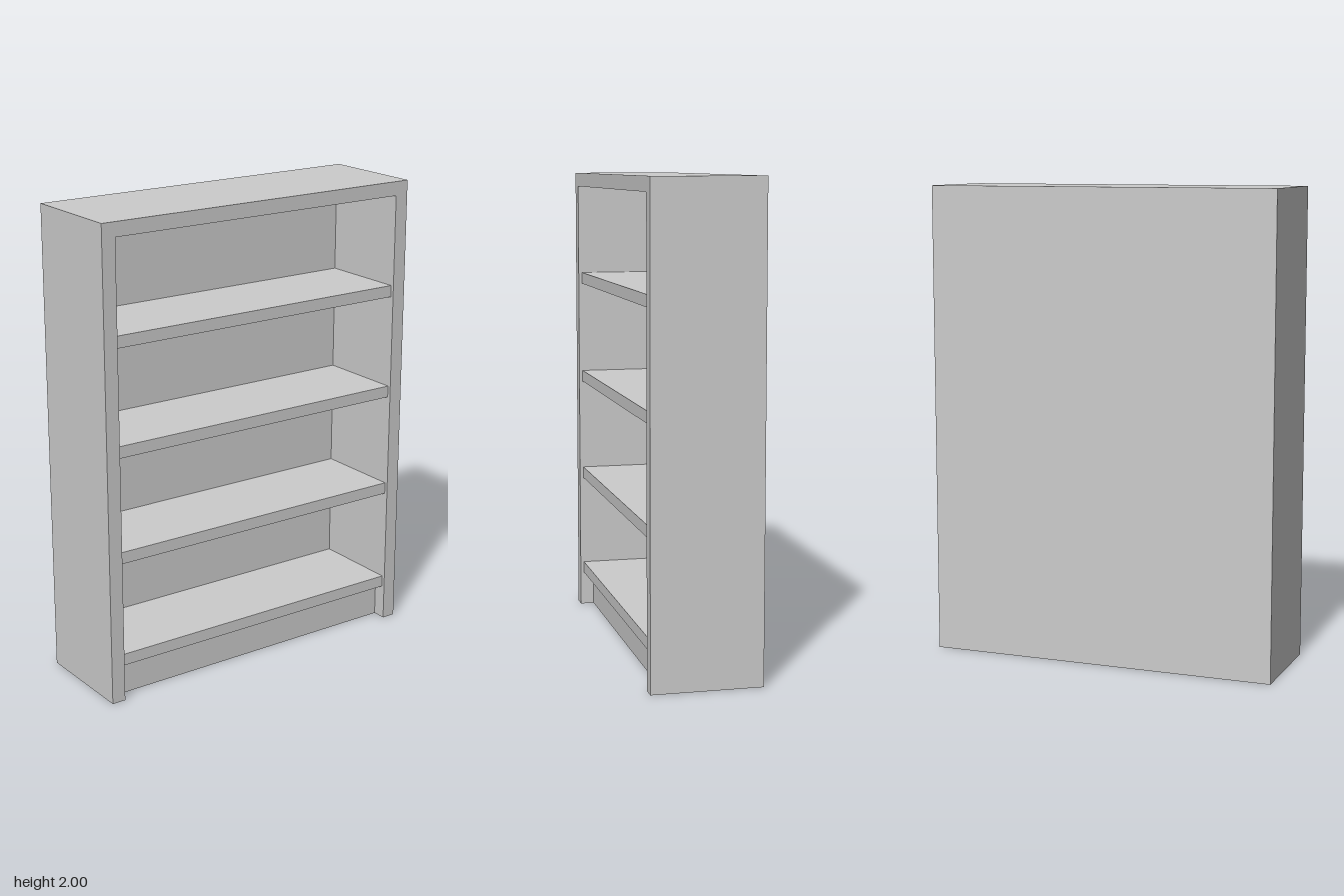
import * as THREE from 'three';

const W = 1.5, H = 2, D = 0.46, T = 0.06; // overall size and board thickness

export function createModel() {
  const group = new THREE.Group();
  const material = new THREE.MeshStandardMaterial({ color: 0xcccccc, flatShading: true });
  const inner = W - 2 * T;

  // Board spanning z0..z1, centred on x, with its underside at y
  function board(name, w, h, x, y, z0, z1) {
    const mesh = new THREE.Mesh(new THREE.BoxGeometry(w, h, z1 - z0), material);
    mesh.position.set(x, y + h / 2, (z0 + z1) / 2);
    mesh.name = name;
    group.add(mesh);
  }

  // Carcass: two sides, top and back
  for (const [name, s] of [['leftSide', 1], ['rightSide', -1]]) {
    board(name, T, H, s * (W - T) / 2, 0, -D / 2, D / 2);
  }
  board('topPanel', inner, T, 0, H - T, -D / 2, D / 2);
  board('backPanel', inner, H - T, 0, 0, -D / 2, -D / 2 + T);

  // Evenly spaced shelves, set back slightly from the front edge
  for (let i = 0; i < 4; i++) {
    board(`shelf${i + 1}`, inner, 0.05, 0, 0.15 + 0.45 * i, -D / 2 + T, D / 2 - 0.015);
  }

  // Recessed plinth under the lowest shelf
  board('kickBoard', inner, 0.15, 0, 0, D / 2 - 2 * T, D / 2 - T);

  return group;
}
